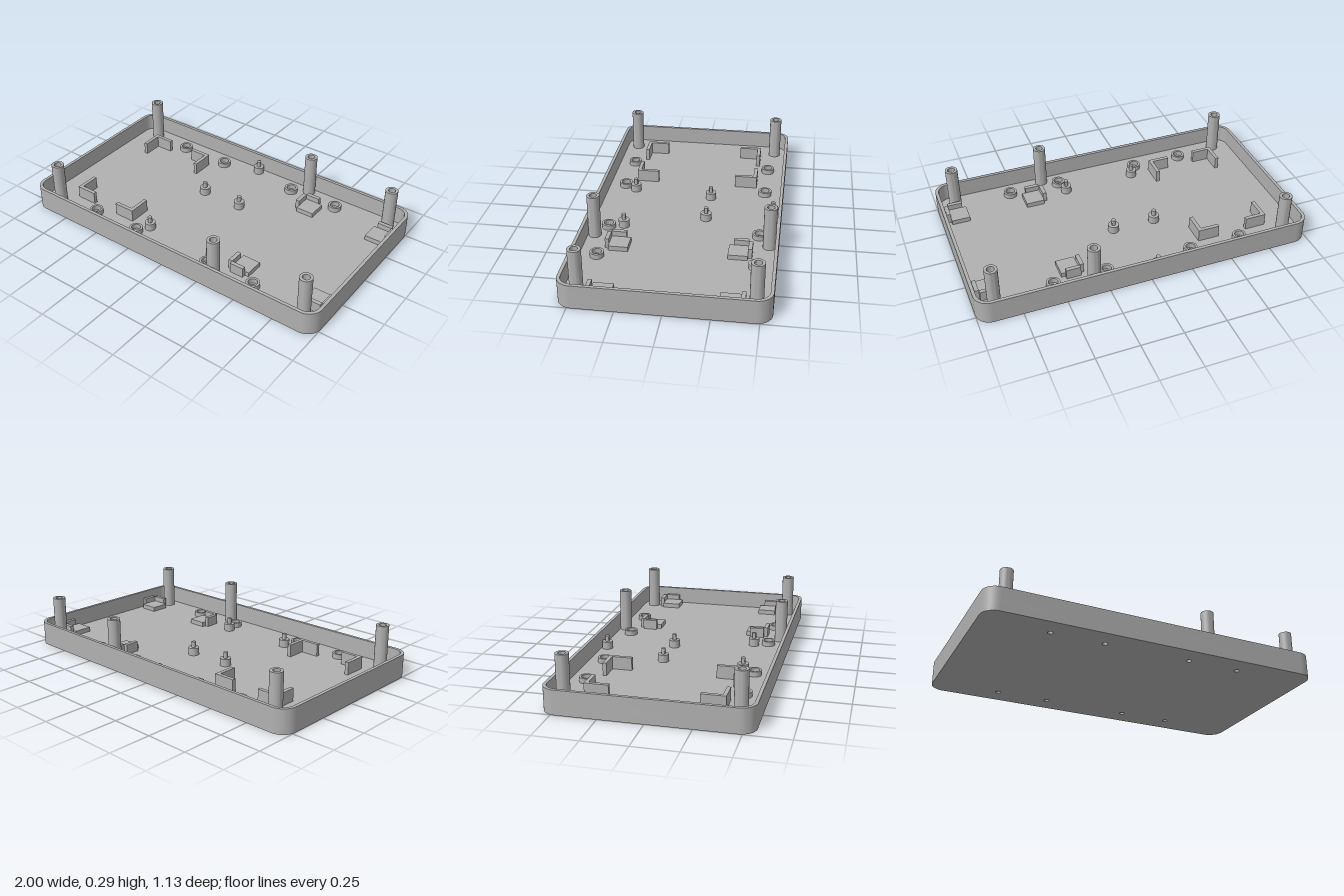
import * as THREE from 'three';
import { toCreasedNormals } from 'three/addons/utils/BufferGeometryUtils.js';

const FLOOR = 0.035, RIM = 0.14, POST_TOP = 0.295, HX = 1, HZ = 0.563, WALL = 0.019, RADIUS = 0.085;

// Rounded rectangle traced onto a Shape or Path
function roundedRect(path, hx, hz, r) {
  path.moveTo(-hx + r, -hz);
  path.lineTo(hx - r, -hz);
  path.absarc(hx - r, -hz + r, r, -Math.PI / 2, 0);
  path.lineTo(hx, hz - r);
  path.absarc(hx - r, hz - r, r, 0, Math.PI / 2);
  path.lineTo(-hx + r, hz);
  path.absarc(-hx + r, hz - r, r, Math.PI / 2, Math.PI);
  path.lineTo(-hx, -hz + r);
  path.absarc(-hx + r, -hz + r, r, Math.PI, Math.PI * 1.5);
  return path;
}

// Extrude a plan shape upwards (shape y becomes -z)
function extrudeUp(shape, y0, y1) {
  const g = new THREE.ExtrudeGeometry(shape, { depth: y1 - y0, bevelEnabled: false, curveSegments: 12 });
  g.rotateX(-Math.PI / 2);
  g.translate(0, y0, 0);
  return toCreasedNormals(g, 0.6);
}

// Turned part from [radius, height] pairs, listed bottom to top on the outside
function turned(points) {
  const g = new THREE.LatheGeometry(points.map(([x, y]) => new THREE.Vector2(x, y)), 32);
  return toCreasedNormals(g, 0.6);
}

export function createModel() {
  const model = new THREE.Group();
  const plastic = new THREE.MeshStandardMaterial({ color: 0xb0b0b0 });
  plastic.name = 'grey plastic';

  function add(name, geometry, x = 0, z = 0) {
    const mesh = new THREE.Mesh(geometry, plastic);
    mesh.name = name;
    mesh.position.set(x, 0, z);
    model.add(mesh);
  }
  // Box standing on the floor, given by its plan limits
  function block(name, x0, x1, z0, z1, height) {
    const g = new THREE.BoxGeometry(x1 - x0, height, z1 - z0);
    g.translate((x0 + x1) / 2, FLOOR + height / 2, (z0 + z1) / 2);
    add(name, g);
  }

  // Floor with screw holes
  const screws = [];
  for (const x of [-0.602, -0.287, 0.231, 0.546]) for (const z of [-0.446, 0.441]) screws.push([x, z]);
  const floor = roundedRect(new THREE.Shape(), HX, HZ, RADIUS);
  for (const [x, z] of screws) floor.holes.push(new THREE.Path().absarc(x, -z, 0.016, 0, Math.PI * 2, true));
  add('floor', extrudeUp(floor, 0, FLOOR));

  // Side wall
  const wall = roundedRect(new THREE.Shape(), HX, HZ, RADIUS);
  wall.holes.push(roundedRect(new THREE.Path(), HX - WALL, HZ - WALL, RADIUS - WALL));
  add('sideWall', extrudeUp(wall, FLOOR, RIM));

  // Raised collars around the screw holes
  const collar = turned([[0.04, FLOOR], [0.04, FLOOR + 0.03], [0.027, FLOOR + 0.03], [0.027, FLOOR]]);
  for (const [x, z] of screws) add('screwCollar', collar, x, z);

  // Tall hollow posts
  const post = turned([[0.037, FLOOR], [0.037, POST_TOP], [0.021, POST_TOP], [0.021, FLOOR]]);
  for (const [x, z] of [[-0.868, 0.475], [0.326, 0.508], [0.888, 0.475]]) {
    add('post', post, x, -z);
    add('post', post, x, z - 0.005);
  }

  // Stepped locating pins
  const pin = turned([[0.032, FLOOR], [0.032, FLOOR + 0.045], [0.013, FLOOR + 0.045],
    [0.013, FLOOR + 0.08], [0, FLOOR + 0.08]]);
  for (const [x, z] of [[-0.055, -0.508], [-0.195, -0.115], [0.064, -0.115], [-0.24, 0.367], [0.205, 0.355]]) {
    add('locatingPin', pin, x, z);
  }

  // Corner brackets, mirrored front to back
  for (const s of [-1, 1]) {
    const shift = s < 0 ? 0 : -0.006;
    const mirrored = (name, x0, x1, a, b, h) => {
      const p = s * (a + shift), q = s * (b + shift);
      block(name, x0, x1, Math.min(p, q), Math.max(p, q), h);
    };
    // Left-hand L brackets
    mirrored('bracketBack', -0.803, -0.675, 0.365, 0.387, 0.075);
    mirrored('bracketSide', -0.803, -0.781, 0.25, 0.365, 0.075);
    mirrored('bracketBack', -0.497, -0.367, 0.365, 0.387, 0.075);
    mirrored('bracketSide', -0.389, -0.367, 0.25, 0.365, 0.075);
    // Right-hand seats with low walls
    mirrored('seatPad', 0.373, 0.483, 0.285, 0.397, 0.028);
    mirrored('seatBack', 0.373, 0.459, 0.397, 0.42, 0.06);
    mirrored('seatSide', 0.349, 0.373, 0.311, 0.397, 0.06);
    mirrored('seatPad', 0.84, 0.95, 0.285, 0.397, 0.028);
    mirrored('seatBack', 0.862, 0.95, 0.397, 0.42, 0.06);
    mirrored('seatSide', 0.95, 0.973, 0.311, 0.397, 0.06);
  }
  return model;
}
